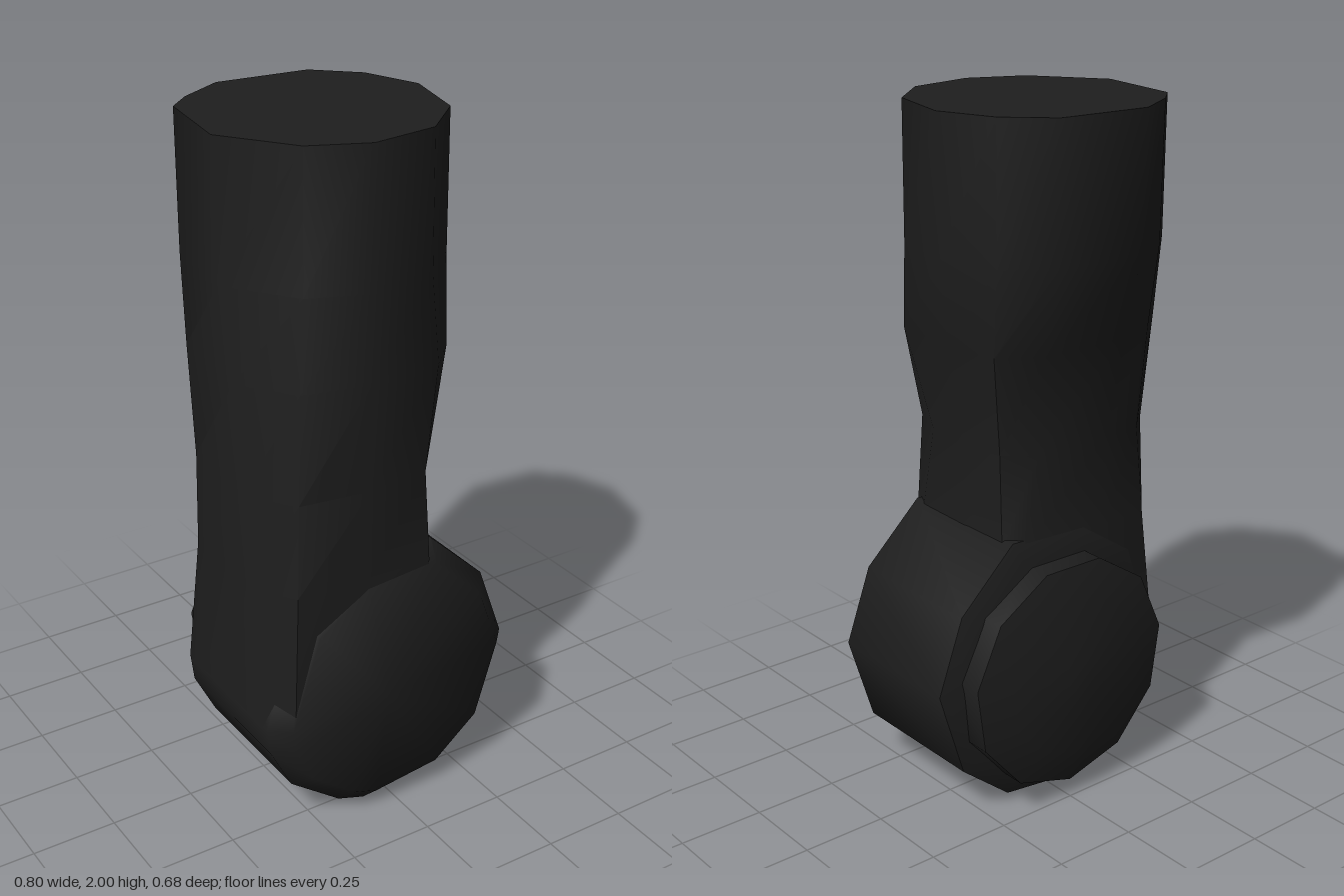
import * as THREE from 'three';
import { toCreasedNormals } from 'three/addons/utils/BufferGeometryUtils.js';

// Skin a list of equal-length rings of [x, y, z] points and close both ends.
function loft(rings, crease) {
  const n = rings[0].length, pos = [];
  const tri = (...pts) => pts.forEach((p) => pos.push(...p));
  const middle = (ring) => [0, 1, 2].map((k) => ring.reduce((s, p) => s + p[k], 0) / n);
  const first = rings[0], last = rings[rings.length - 1];
  for (let i = 0; i < n; i++) {
    const j = (i + 1) % n;
    for (let r = 0; r + 1 < rings.length; r++) {
      const a = rings[r], b = rings[r + 1];
      tri(a[i], b[i], a[j]);
      tri(a[j], b[i], b[j]);
    }
    tri(middle(first), first[i], first[j]);
    tri(middle(last), last[j], last[i]);
  }
  const geo = new THREE.BufferGeometry();
  geo.setAttribute('position', new THREE.Float32BufferAttribute(pos, 3));
  return toCreasedNormals(geo, crease);
}

export function createModel() {
  const group = new THREE.Group();
  const dark = new THREE.MeshStandardMaterial({ color: 0x1e1e1e });
  const add = (name, geo) => {
    const mesh = new THREE.Mesh(geo, dark);
    mesh.name = name;
    group.add(mesh);
  };

  // Upper arm: round at the top, waisted, then squared off into the joint ([x, z] sections)
  const top = [[-0.155, -0.342], [0.12, -0.32], [0.235, -0.21], [0.295, -0.04], [0.24, 0.18], [0.1, 0.31],
    [-0.1, 0.34], [-0.26, 0.27], [-0.4, 0.07], [-0.36, -0.2], [-0.29, -0.265]];
  const mid = [[-0.18, -0.245], [0.09, -0.24], [0.21, -0.165], [0.235, 0], [0.21, 0.235], [0.12, 0.325],
    [-0.1, 0.34], [-0.29, 0.297], [-0.4, 0.144], [-0.375, -0.15], [-0.3, -0.21]];
  const waist = [[-0.2, -0.16], [0.05, -0.16], [0.135, -0.095], [0.15, 0.05], [0.14, 0.2], [0.09, 0.32],
    [-0.1, 0.34], [-0.306, 0.31], [-0.4, 0.18], [-0.385, -0.1], [-0.315, -0.16]];
  const neck = [[-0.2, -0.16], [0.1, -0.16], [0.148, -0.12], [0.148, 0.05], [0.145, 0.25], [0.1, 0.335],
    [-0.1, 0.34], [-0.32, 0.325], [-0.4, 0.215], [-0.395, -0.09], [-0.345, -0.16]];
  const base = [[-0.2, -0.16], [0.1, -0.16], [0.145, -0.12], [0.145, 0.05], [0.145, 0.27], [0.1, 0.335],
    [-0.1, 0.338], [-0.34, 0.338], [-0.4, 0.26], [-0.4, -0.1], [-0.4, -0.16]];
  const mix = (a, b, t) => a.map((p, i) => p.map((v, k) => v + (b[i][k] - v) * t));
  const level = (section, y) => section.map(([x, z]) => [x, y, z]);
  add('upperArm', loft([
    level(base, 0.36), level(neck, 0.78), level(waist, 1.05), level(mid, 1.36),
    level(mix(top, mid, 0.15), 1.61), level(top, 2),
  ], 0.8));

  // Joint drum lying along z, with a chamfered front rim and a slightly raised back
  const outline = [[-0.4, 0.36], [-0.39, 0.28], [-0.325, 0.15], [-0.165, 0.03], [-0.08, 0.002], [0.16, 0.03],
    [0.32, 0.16], [0.4, 0.42], [0.32, 0.64], [0.14, 0.81], [-0.12, 0.8], [-0.3, 0.68]];
  const slice = (s, z) => outline.map(([x, y]) => [x * s, 0.42 + (y - 0.42) * s, z]);
  add('jointDrum', loft([slice(0.87, 0.34), slice(1, 0.285), slice(1, -0.157), slice(0.84, -0.18)], 1));

  // Shallow domed cap on the back of the joint
  const circle = (r, z) => Array.from({ length: 11 }, (_, i) => {
    const a = (i / 11) * Math.PI * 2 + 0.15;
    return [-0.005 + r * Math.cos(a), 0.4 + r * Math.sin(a), z];
  });
  add('backCap', loft([
    circle(0.345, -0.14), circle(0.345, -0.245), circle(0.24, -0.272), circle(0.05, -0.292),
  ], 0.6));

  return group;
}
